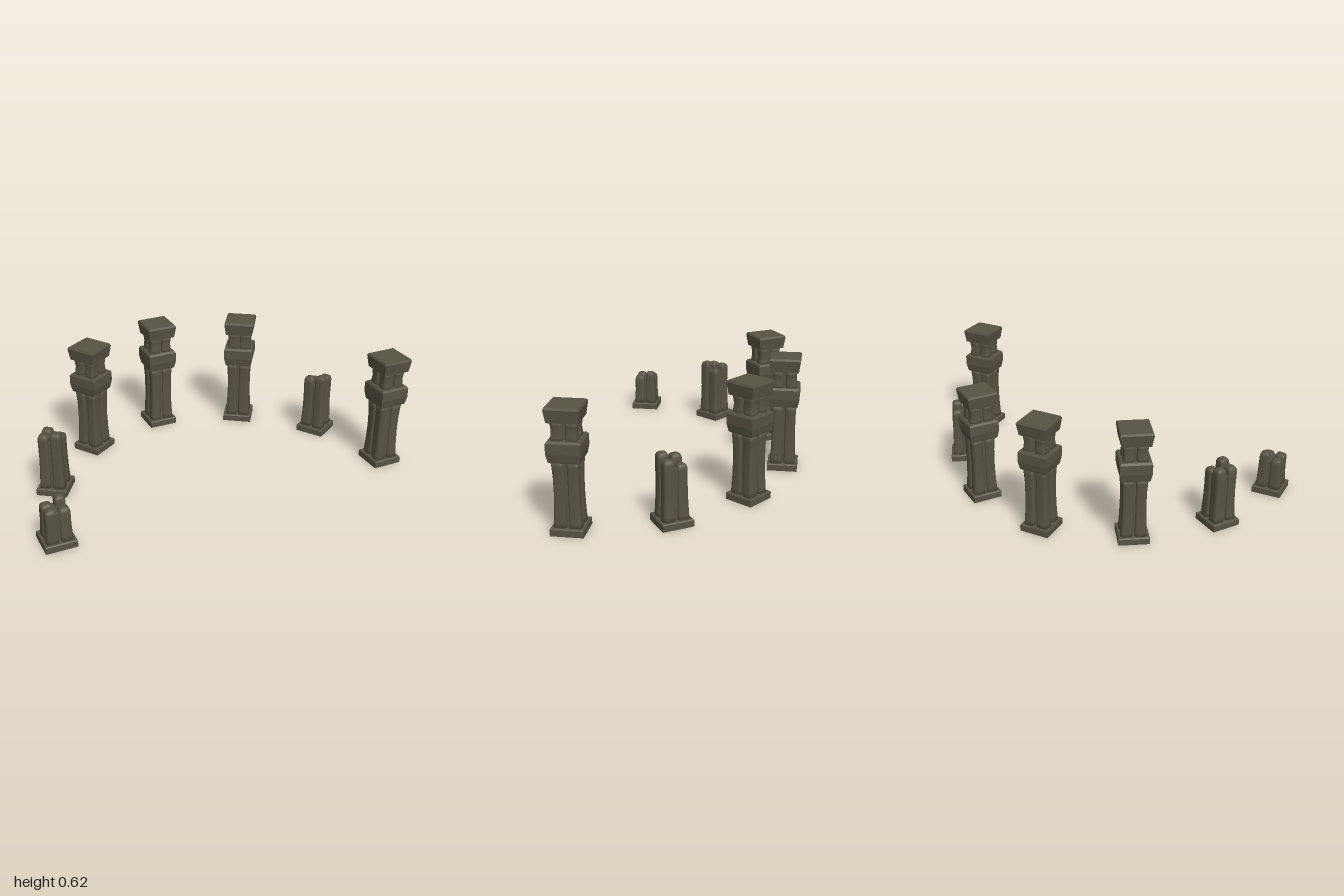
import * as THREE from 'three';

const stone = new THREE.MeshStandardMaterial({ color: 0x575243 });
stone.name = 'darkStone';

// Closed loft through horizontal rings; each row is [y, halfWidth, centreX, centreZ].
function loft(rows, sides, power, flat) {
  const pos = [], index = [];
  const first = rows[0], last = rows[rows.length - 1];
  const all = [[first[0], 0, first[2], first[3]], ...rows, [last[0], 0, last[2], last[3]]];
  const bend = (v) => Math.sign(v) * Math.pow(Math.abs(v), power);
  for (const [y, half, cx = 0, cz = 0] of all) {
    for (let j = 0; j < sides; j++) {
      const a = ((j + 0.5) / sides) * Math.PI * 2;
      pos.push(cx + half * bend(Math.cos(a)), y, cz + half * bend(Math.sin(a)));
    }
  }
  for (let i = 0; i < all.length - 1; i++) {
    for (let j = 0; j < sides; j++) {
      const a = i * sides + j, b = i * sides + ((j + 1) % sides);
      index.push(a, a + sides, b, b, a + sides, b + sides);
    }
  }
  let geo = new THREE.BufferGeometry();
  geo.setAttribute('position', new THREE.Float32BufferAttribute(pos, 3));
  geo.setIndex(index);
  if (flat) geo = geo.toNonIndexed();
  geo.computeVertexNormals();
  return geo;
}

function add(group, name, geo) {
  const mesh = new THREE.Mesh(geo, stone);
  mesh.name = name;
  group.add(mesh);
}

// Square slab with sloped or bevelled sides; rows are [y, halfWidth].
const slab = (rows) => loft(rows.map(([y, h]) => [y, h * Math.SQRT2]), 4, 1, true);

// Outer half width of the column bundle: flared foot, slim waist, flared head.
const shaft = [[0.03, 0.067], [0.06, 0.065], [0.12, 0.062], [0.2, 0.06], [0.28, 0.061], [0.33, 0.064], [0.36, 0.067]];
const neck = [[0.45, 0.065], [0.47, 0.062], [0.5, 0.059], [0.525, 0.062], [0.55, 0.066]];
const corners = [[1, 1], [-1, 1], [1, -1], [-1, -1]];

// Corner column following the bundle outline, slightly uneven from corner to corner.
function column(outline, k) {
  const [sx, sz] = corners[k];
  const share = 0.455 + 0.015 * Math.sin(k * 2.3 + 1);
  return outline.map(([y, o]) => [y, o * share, sx * o * (1 - share), sz * o * (1 - share)]);
}

// Cut a column at height h and round off its broken top.
function snapped(rows, h) {
  const kept = rows.filter(([y]) => y < h - 0.035);
  const [, r, cx, cz] = kept[kept.length - 1];
  const dome = [[0.03, 1], [0.017, 0.95], [0.008, 0.82], [0.002, 0.5], [0, 0.2]];
  return [...kept, ...dome.map(([d, s]) => [h - d, r * s, cx * (0.94 + 0.06 * s), cz * (0.94 + 0.06 * s)])];
}

function makePillar(name, x, z, angle, heights) {
  const pillar = new THREE.Group();
  pillar.name = name;
  add(pillar, 'basePlate', slab([[0, 0.079], [0.032, 0.079], [0.037, 0.075]]));
  corners.forEach((_, k) => {
    const rows = column(shaft, k);
    add(pillar, 'shaftColumn', loft(heights ? snapped(rows, heights[k]) : rows, 28, 0.5, false));
  });
  const coreTop = heights ? Math.min(...heights) - 0.02 : 0.36;
  add(pillar, 'shaftCore', slab([[0.03, 0.05], [coreTop, 0.05]]));
  if (!heights) {
    add(pillar, 'collar', slab([[0.355, 0.071], [0.362, 0.073], [0.398, 0.08], [0.448, 0.08], [0.458, 0.073]]));
    corners.forEach((_, k) => add(pillar, 'neckColumn', loft(column(neck, k), 28, 0.5, false)));
    add(pillar, 'neckCore', slab([[0.45, 0.046], [0.55, 0.046]]));
    add(pillar, 'capital', slab([[0.543, 0.073], [0.605, 0.082], [0.615, 0.077]]));
  }
  pillar.position.set(x, 0, z);
  pillar.rotation.y = THREE.MathUtils.degToRad(angle);
  return pillar;
}

export function createModel() {
  const model = new THREE.Group();
  model.name = 'pillarRing';
  model.add(
    makePillar('backPillar', -0.003, -0.465, 0),
    makePillar('backRightPillar', -0.45, -0.33, 33),
    makePillar('backLeftPillar', 0.45, -0.32, -34),
    makePillar('frontLeftPillar', 0.915, 0.456, 0),
    makePillar('brokenLeftPillar', 0.78, 0.009, 33, [0.337, 0.354, 0.31, 0.338]),
    makePillar('brokenRightPillar', -0.78, 0.001, -34, [0.352, 0.337, 0.315, 0.338]),
    makePillar('brokenFrontPillar', -0.918, 0.455, 0, [0.212, 0.214, 0.238, 0.21])
  );
  return model;
}
